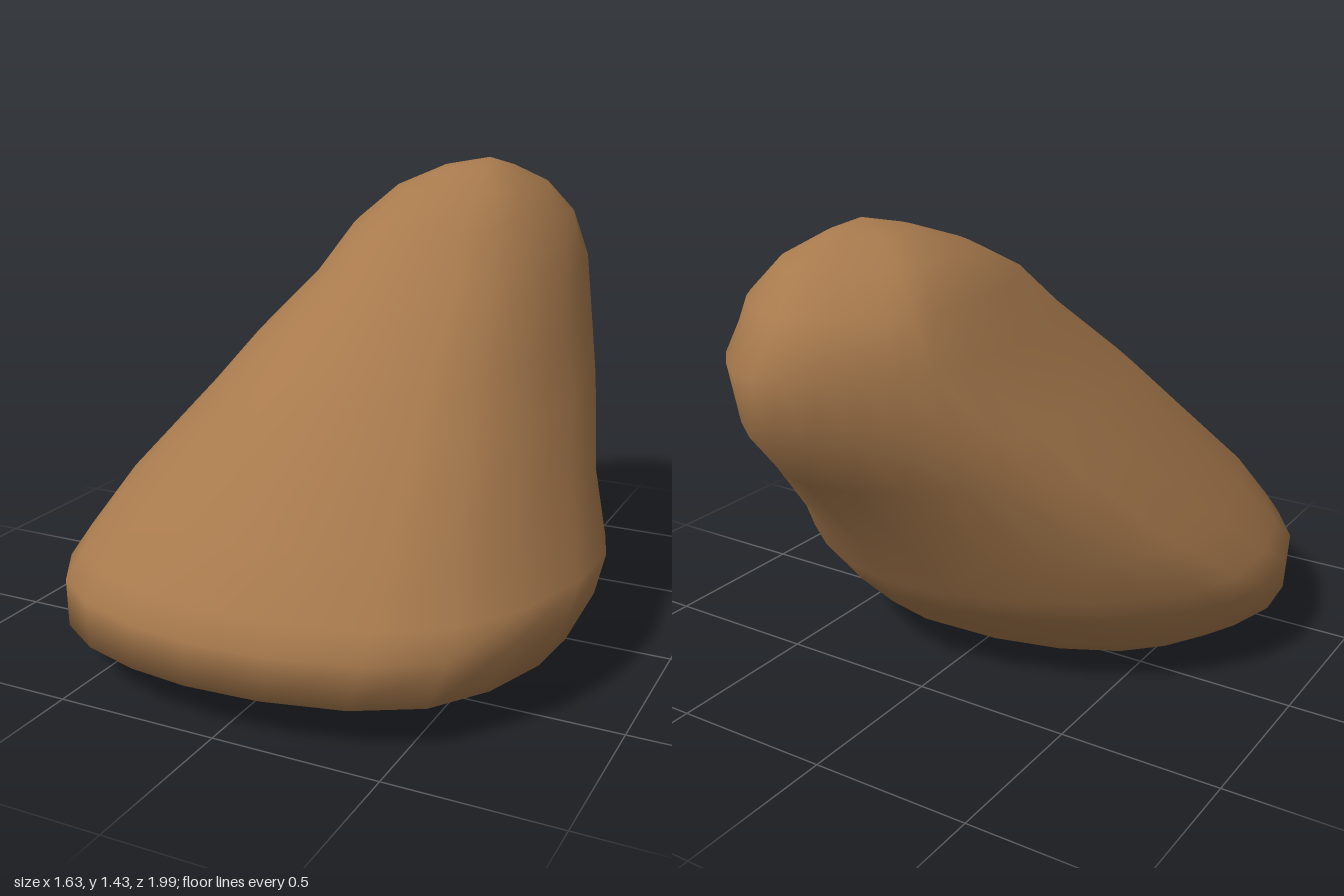
import * as THREE from 'three';

// Horizontal cross-sections: height, then (x, z) of the -x, +x, front and back extremes
const SECTIONS = [
  [0, -0.08, 0.2, 0.46, 0.15, 0.15, 0.32, 0.2, 0],
  [0.03, -0.45, 0.25, 0.52, 0.2, 0, 0.68, 0.1, -0.1],
  [0.06, -0.68, 0.3, 0.6, 0.25, -0.05, 0.82, 0.1, -0.22],
  [0.13, -0.79, 0.32, 0.75, 0.27, -0.09, 0.99, 0.1, -0.33],
  [0.26, -0.82, 0.21, 0.81, 0.2, -0.09, 0.99, 0.12, -0.46],
  [0.34, -0.78, 0.08, 0.81, 0.09, -0.06, 0.95, 0.12, -0.52],
  [0.5, -0.68, -0.13, 0.73, -0.05, 0, 0.83, 0.12, -0.62],
  [0.75, -0.49, -0.37, 0.65, -0.25, 0.05, 0.61, 0.14, -0.82],
  [0.9, -0.39, -0.45, 0.59, -0.37, 0.08, 0.46, 0.15, -0.95],
  [1.1, -0.24, -0.6, 0.52, -0.53, 0.1, 0.22, 0.16, -1],
  [1.24, -0.165, -0.62, 0.45, -0.62, 0.1, 0.05, 0.16, -0.88],
  [1.34, -0.07, -0.56, 0.37, -0.57, 0.13, -0.15, 0.17, -0.78],
  [1.4, 0.06, -0.48, 0.28, -0.5, 0.17, -0.32, 0.2, -0.58],
];
const SIDES = 24;

// How far each diagonal corner reaches toward its bounding box: 0.71 is an ellipse
function cornerReach(y, right, front) {
  if (front) return right ? 0.765 : THREE.MathUtils.lerp(0.74, 0.795, THREE.MathUtils.smoothstep(y, 0.2, 0.6));
  return right ? 0.65 : Math.max(0.6, 0.73 - 0.17 * y);
}

// Smooth closed outline through the four extremes and four corners of one section
function sectionPoints([y, xl, zl, xr, zr, xf, zf, xb, zb]) {
  const corner = (right, front) => {
    const [sx, sz] = right ? [xr, zr] : [xl, zl];
    const [ex, ez] = front ? [xf, zf] : [xb, zb];
    const k = cornerReach(y, right, front);
    return new THREE.Vector3(ex + (sx - ex) * k, y, sz + (ez - sz) * k);
  };
  const outline = new THREE.CatmullRomCurve3([
    new THREE.Vector3(xr, y, zr), corner(true, true),
    new THREE.Vector3(xf, y, zf), corner(false, true),
    new THREE.Vector3(xl, y, zl), corner(false, false),
    new THREE.Vector3(xb, y, zb), corner(true, false),
  ], true);
  return outline.getPoints(SIDES).slice(0, SIDES);
}

function boulderGeometry() {
  const points = SECTIONS.flatMap(sectionPoints), index = [];
  // Closing points under the base and at the peak
  const base = points.length, peak = base + 1;
  points.push(new THREE.Vector3(0.2, 0, 0.16), new THREE.Vector3(0.21, 1.43, -0.45));

  const last = (SECTIONS.length - 1) * SIDES;
  for (let j = 0; j < SIDES; j++) {
    const k = (j + 1) % SIDES;
    for (let r = 0; r < last; r += SIDES) {
      const a = r + j, b = r + k, c = a + SIDES, d = b + SIDES;
      index.push(a, c, b, b, c, d);
    }
    index.push(base, j, k, peak, last + k, last + j);
  }
  const geometry = new THREE.BufferGeometry().setFromPoints(points);
  geometry.setIndex(index);
  geometry.computeVertexNormals();
  return geometry;
}

export function createModel() {
  const stone = new THREE.MeshStandardMaterial({ color: 0xa87a4d });
  stone.name = 'brown stone';
  const boulder = new THREE.Mesh(boulderGeometry(), stone);
  boulder.name = 'boulder';
  const model = new THREE.Group();
  model.name = 'leaningRock';
  model.add(boulder);
  return model;
}
